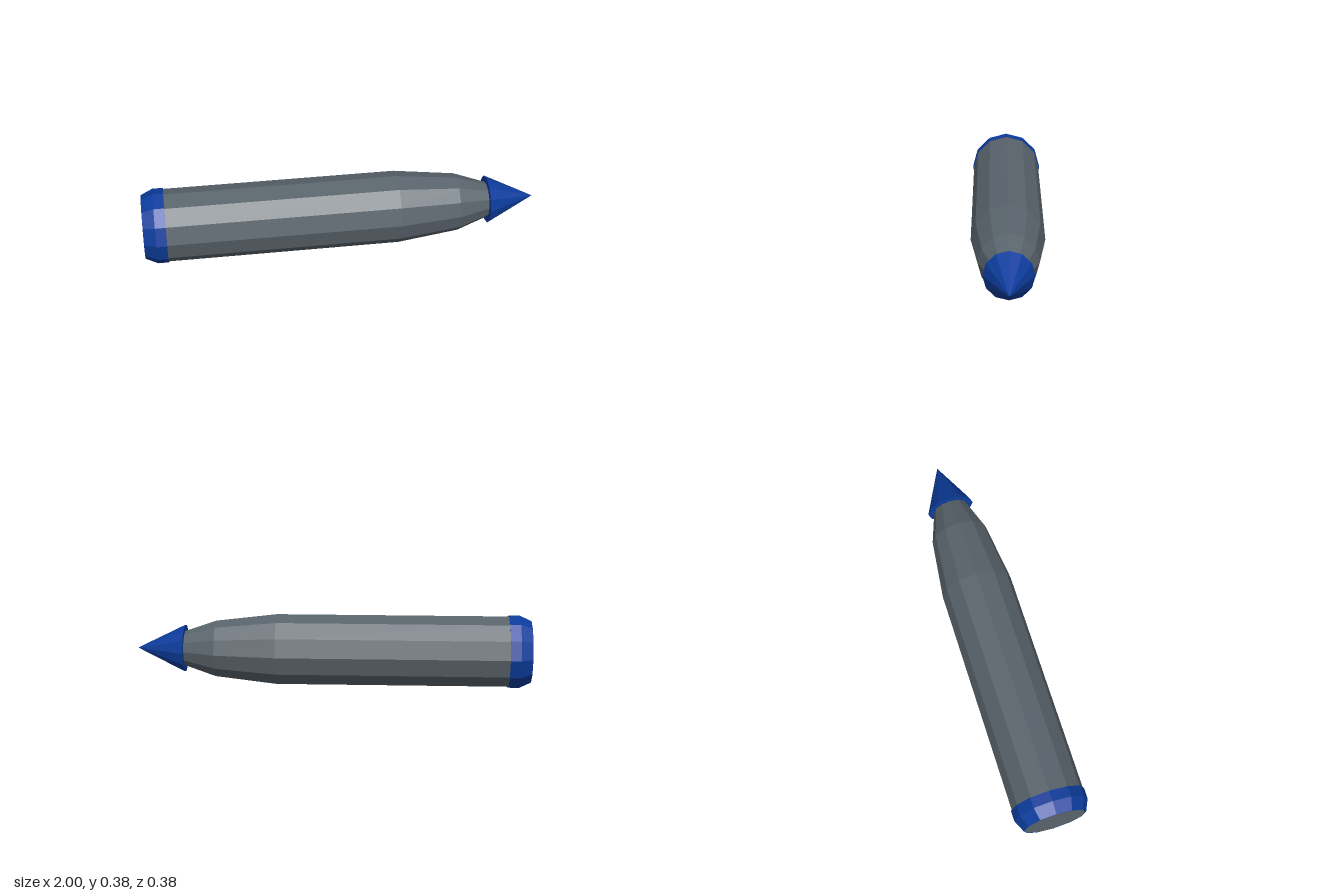
import * as THREE from 'three';

const SIDES = 12;
const AXIS_HEIGHT = 0.19;

// Turns a [position along x, radius] profile, tail to tip, into a faceted solid.
function turned(name, profile, color) {
  const points = profile.map(([x, r]) => new THREE.Vector2(r, x));
  const geometry = new THREE.LatheGeometry(points, SIDES);
  geometry.rotateZ(-Math.PI / 2);
  const material = new THREE.MeshStandardMaterial({ color, flatShading: true });
  const mesh = new THREE.Mesh(geometry, material);
  mesh.name = name;
  mesh.position.y = AXIS_HEIGHT;
  return mesh;
}

export function createModel() {
  const group = new THREE.Group();
  group.name = 'shell';
  const grey = 0x59636b;
  const blue = 0x0c3c9c;

  // Long casing with a two-step taper, closed at the tail
  group.add(turned('casing', [
    [-1, 0], [-1, 0.155], [-0.94, 0.183], [0.285, 0.183],
    [0.595, 0.146], [0.755, 0.09], [0.8, 0.07], [0.8, 0],
  ], grey));

  // Chamfered band around the tail
  group.add(turned('tailBand', [
    [-1, 0.155], [-1, 0.16], [-0.94, 0.188], [-0.887, 0.188], [-0.887, 0.18],
  ], blue));

  // Pointed cap, wider than the casing it sits on
  group.add(turned('noseCone', [
    [0.755, 0], [0.755, 0.122], [1, 0],
  ], blue));

  return group;
}
